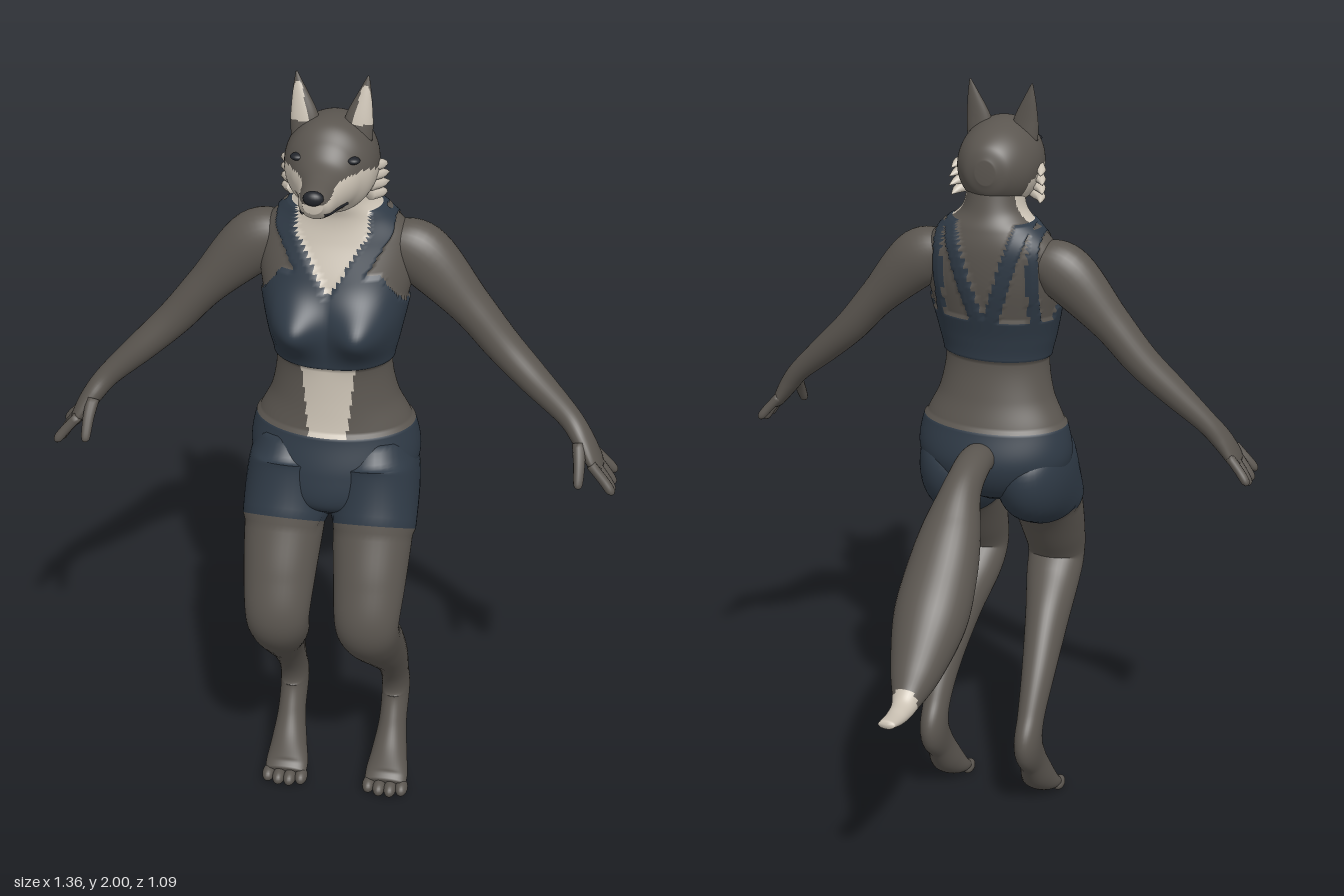
import * as THREE from 'three';

const mat = (name, color) => {
  const m = new THREE.MeshStandardMaterial({ color });
  m.name = name;
  return m;
};
const FUR = 0, CLOTH = 1, CREAM = 2, DARK = 3;
const X = new THREE.Vector3(1, 0, 0), Y = new THREE.Vector3(0, 1, 0), Z = new THREE.Vector3(0, 0, 1);

export function createModel() {
  const mats = [mat('fur', 0x5b5650), mat('cloth', 0x2f3a46), mat('cream', 0xcbc2b4), mat('dark', 0x22252b)];
  const model = new THREE.Group();

  // Smooth skin over rings [x, y, z, half size along side, half size across].
  // pick(point) chooses the colour; cloth is raised slightly above the fur.
  function loft(name, rings, { side = X, axis = null, rows = 40, cols = 32, pick = () => FUR, bend = null }) {
    const path = new THREE.CatmullRomCurve3(rings.map(r => new THREE.Vector3(r[0], r[1], r[2])), false, 'catmullrom', 0.5);
    const size = new THREE.CatmullRomCurve3(rings.map(r => new THREE.Vector3(r[3], r[4], 0)), false, 'catmullrom', 0.5);
    const raw = [], pos = [], lists = [[], [], [], []];
    const add = (p, c) => {
      if (bend) bend(p);
      raw.push(p.clone());
      if (pick(p) === CLOTH) p.addScaledVector(p.clone().sub(c).normalize(), 0.006);
      pos.push(p.x, p.y, p.z);
    };
    for (let i = 0; i <= rows; i++) {
      const t = i / rows, c = path.getPoint(t), r = size.getPoint(t);
      const T = axis || path.getTangent(t);
      const S = side.clone().addScaledVector(T, -side.dot(T)).normalize();
      const B = T.clone().cross(S);
      for (let j = 0; j < cols; j++) {
        const a = j / cols * Math.PI * 2;
        add(c.clone().addScaledVector(S, r.x * Math.cos(a)).addScaledVector(B, r.y * Math.sin(a)), c);
      }
    }
    const first = raw.length;
    add(path.getPoint(0), path.getPoint(0.1));
    add(path.getPoint(1), path.getPoint(0.9));
    const face = (...v) => {
      const m = new THREE.Vector3();
      v.forEach(k => m.addScaledVector(raw[k], 1 / v.length));
      const list = lists[pick(m)];
      for (let k = 1; k < v.length - 1; k++) list.push(v[0], v[k], v[k + 1]);
    };
    for (let j = 0; j < cols; j++) {
      const n = (j + 1) % cols, e = rows * cols;
      for (let i = 0; i < rows; i++) face(i * cols + j, i * cols + n, (i + 1) * cols + n, (i + 1) * cols + j);
      face(first, n, j);
      face(first + 1, e + j, e + n);
    }
    const g = new THREE.BufferGeometry();
    g.setAttribute('position', new THREE.Float32BufferAttribute(pos, 3));
    g.setIndex(lists.flat());
    let start = 0;
    lists.forEach((l, k) => { if (l.length) g.addGroup(start, l.length, k); start += l.length; });
    g.computeVertexNormals();
    const mesh = new THREE.Mesh(g, mats);
    mesh.name = name;
    model.add(mesh);
  }

  function blob(name, m, x, y, z, sx, sy, sz) {
    const mesh = new THREE.Mesh(new THREE.SphereGeometry(1, 20, 14), mats[m]);
    mesh.name = name;
    mesh.position.set(x, y, z);
    mesh.scale.set(sx, sy, sz);
    model.add(mesh);
  }

  // Torso and neck: [height, half width, front z, back z]
  const torso = [
    [0.90, 0.06, 0.38, 0.25], [0.95, 0.16, 0.43, 0.17], [1.03, 0.198, 0.425, 0.135], [1.12, 0.187, 0.40, 0.155],
    [1.20, 0.152, 0.39, 0.18], [1.29, 0.137, 0.387, 0.197], [1.36, 0.15, 0.39, 0.19], [1.44, 0.167, 0.385, 0.17],
    [1.52, 0.18, 0.365, 0.155], [1.60, 0.172, 0.335, 0.152], [1.655, 0.125, 0.325, 0.162],
    [1.70, 0.08, 0.335, 0.18], [1.78, 0.07, 0.34, 0.20]
  ].map(([y, w, f, b]) => [0, y, (f + b) / 2, w, (f - b) / 2]);

  // Shorts, top with straps, pale belly and throat
  function torsoColour({ x, y, z }) {
    const ax = Math.abs(x), front = z > 0.25;
    if (y < 1.125) return CLOTH;
    if (y < 1.305) return front && ax < 0.045 + (y - 1.12) * 0.1 ? CREAM : FUR;
    if (y > 1.672) return z > 0.225 ? CREAM : FUR;
    if (front) {
      const inner = Math.min(0.082, 0.6 * (y - 1.485));
      if (y < 1.45 || (y < 1.53 && ax < 0.115 + (1.53 - y) * 0.7 && ax > inner)) return CLOTH;
      if (ax < inner) return CREAM;
      return ax < inner + 0.052 ? CLOTH : FUR;
    }
    if (y < 1.42) return CLOTH;
    const inner = Math.abs(ax - 0.018 - (y - 1.42) * 0.3) < 0.02;
    const outer = y < 1.66 && Math.abs(ax - 0.122) < 0.013;
    return inner || outer ? CLOTH : FUR;
  }
  loft('torso', torso, {
    axis: Y, rows: 150, cols: 128, pick: torsoColour,
    bend: p => {
      const w = THREE.MathUtils.clamp((p.z - 0.29) / 0.06, 0, 1);
      const dx = (Math.abs(p.x) - 0.078) / 0.062, dy = (p.y - 1.405) / 0.062;
      p.z += 0.064 * w * Math.exp(-dx * dx - dy * dy);
    }
  });

  // Head and muzzle: [z, half width, top, bottom]
  const head = [
    [0.178, 0.025, 1.83, 1.77], [0.195, 0.062, 1.865, 1.735], [0.24, 0.093, 1.893, 1.70], [0.30, 0.106, 1.908, 1.685],
    [0.355, 0.1, 1.905, 1.69], [0.395, 0.078, 1.877, 1.712], [0.43, 0.059, 1.845, 1.722],
    [0.47, 0.046, 1.831, 1.733], [0.515, 0.037, 1.823, 1.752], [0.54, 0.022, 1.815, 1.775]
  ].map(([z, w, t, b]) => [0, (t + b) / 2, z, w, (t - b) / 2]);
  loft('head', head, {
    axis: Z, rows: 80, cols: 80,
    pick: p => p.z > 0.25 && p.y < 1.813 - 0.35 * Math.max(0, 0.38 - p.z) - 0.2 * Math.max(0, p.z - 0.46) ? CREAM : FUR
  });
  blob('nose', DARK, 0, 1.809, 0.533, 0.023, 0.017, 0.015);

  // Tail with pale tip
  loft('tail', [
    [0, 1.04, 0.20, 0.04, 0.04], [0, 1.06, 0.11, 0.045, 0.042], [0, 1.025, 0.01, 0.05, 0.053],
    [0, 0.945, -0.07, 0.076, 0.07], [0, 0.865, -0.14, 0.09, 0.082], [0, 0.773, -0.23, 0.093, 0.086],
    [0, 0.68, -0.335, 0.064, 0.06], [0, 0.632, -0.41, 0.033, 0.032], [0, 0.628, -0.47, 0.025, 0.02],
    [0, 0.642, -0.535, 0.021, 0.01]
  ], { rows: 72, cols: 36, pick: p => p.z < -0.41 ? CREAM : FUR });

  for (const s of [1, -1]) {
    const side = s > 0 ? 'left' : 'right';
    const flip = rings => rings.map(([x, ...rest]) => [x * s, ...rest]);

    // Leg from hip to ball of foot, with the shorts ending square to the thigh
    loft(side + 'Leg', flip([
      [0.098, 1.07, 0.275, 0.085, 0.11], [0.104, 0.985, 0.30, 0.098, 0.145], [0.108, 0.875, 0.38, 0.097, 0.094],
      [0.11, 0.76, 0.445, 0.088, 0.076], [0.11, 0.665, 0.484, 0.079, 0.063], [0.113, 0.60, 0.447, 0.074, 0.066],
      [0.124, 0.513, 0.357, 0.059, 0.066], [0.133, 0.40, 0.257, 0.045, 0.052], [0.135, 0.30, 0.19, 0.036, 0.046],
      [0.135, 0.225, 0.167, 0.036, 0.06], [0.135, 0.15, 0.213, 0.036, 0.047], [0.134, 0.085, 0.258, 0.046, 0.044],
      [0.133, 0.042, 0.295, 0.055, 0.033], [0.133, 0.026, 0.325, 0.054, 0.02]
    ]), { rows: 104, cols: 40, pick: p => p.y > 0.661 + 0.5625 * p.z ? CLOTH : FUR });
    for (let i = 0; i < 4; i++) {
      const out = Math.abs(i - 1.5);
      blob(side + 'Toe', FUR, s * (0.09 + i * 0.029), 0.019, 0.341 - out * 0.009, 0.0165, 0.019, 0.028);
    }

    // Arm and palm
    loft(side + 'Arm', flip([
      [0.12, 1.58, 0.24, 0.05, 0.05], [0.195, 1.545, 0.24, 0.062, 0.073], [0.31, 1.427, 0.248, 0.052, 0.05],
      [0.39, 1.334, 0.256, 0.046, 0.043], [0.468, 1.258, 0.272, 0.041, 0.037], [0.553, 1.178, 0.29, 0.031, 0.028],
      [0.592, 1.13, 0.308, 0.038, 0.025], [0.62, 1.088, 0.32, 0.045, 0.019], [0.633, 1.066, 0.323, 0.042, 0.014]
    ]), { side: Z, rows: 60, cols: 32 });
    for (let i = 0; i < 4; i++) {
      const z = 0.287 + i * 0.025, z2 = 0.275 + i * 0.033, d = i === 1 || i === 2 ? 0 : 0.012;
      loft(side + 'Finger', flip([
        [0.618, 1.092, z, 0.012, 0.012], [0.648, 1.052 + d / 2, (z + z2) / 2, 0.012, 0.012],
        [0.667, 1.022 + d, z2, 0.011, 0.011], [0.671, 1.012 + d, z2, 0.004, 0.004]
      ]), { side: Z, rows: 12, cols: 12 });
    }
    loft(side + 'Thumb', flip([
      [0.585, 1.13, 0.335, 0.016, 0.016], [0.59, 1.095, 0.365, 0.014, 0.014],
      [0.592, 1.055, 0.392, 0.011, 0.011], [0.592, 1.045, 0.397, 0.004, 0.004]
    ]), { rows: 12, cols: 12 });

    // Ear with pale inner face
    loft(side + 'Ear', flip([
      [0.056, 1.86, 0.315, 0.036, 0.022], [0.062, 1.905, 0.312, 0.031, 0.017],
      [0.072, 1.955, 0.306, 0.017, 0.01], [0.08, 2.0, 0.30, 0.002, 0.002]
    ]), {
      rows: 32, cols: 32,
      pick: p => p.y > 1.895 && p.z > 0.314 - (p.y - 1.895) * 0.07 && Math.abs(p.x) > 0.05 + (p.y - 1.895) * 0.2 ? CREAM : FUR
    });

    // Eye, mouth line and cheek tufts
    blob(side + 'Eye', DARK, s * 0.062, 1.84, 0.395, 0.016, 0.008, 0.014);
    const lip = [[0.022, 1.768, 0.53], [0.033, 1.763, 0.505], [0.041, 1.758, 0.47], [0.054, 1.748, 0.42]];
    const mouth = new THREE.Mesh(new THREE.TubeGeometry(
      new THREE.CatmullRomCurve3(lip.map(([x, y, z]) => new THREE.Vector3(x * s, y, z))), 16, 0.003, 6), mats[DARK]);
    mouth.name = side + 'MouthLine';
    model.add(mouth);
    for (let i = 0; i < 4; i++) {
      const y = 1.795 - i * 0.023;
      loft(side + 'CheekTuft', flip([
        [0.085, y, 0.315, 0.016, 0.02], [0.108, y - 0.006, 0.29, 0.011, 0.014],
        [0.125 - Math.abs(i - 1.5) * 0.006, y - 0.014, 0.262, 0.001, 0.001]
      ]), { side: Y, rows: 8, cols: 8, pick: () => CREAM });
    }
  }
  return model;
}
